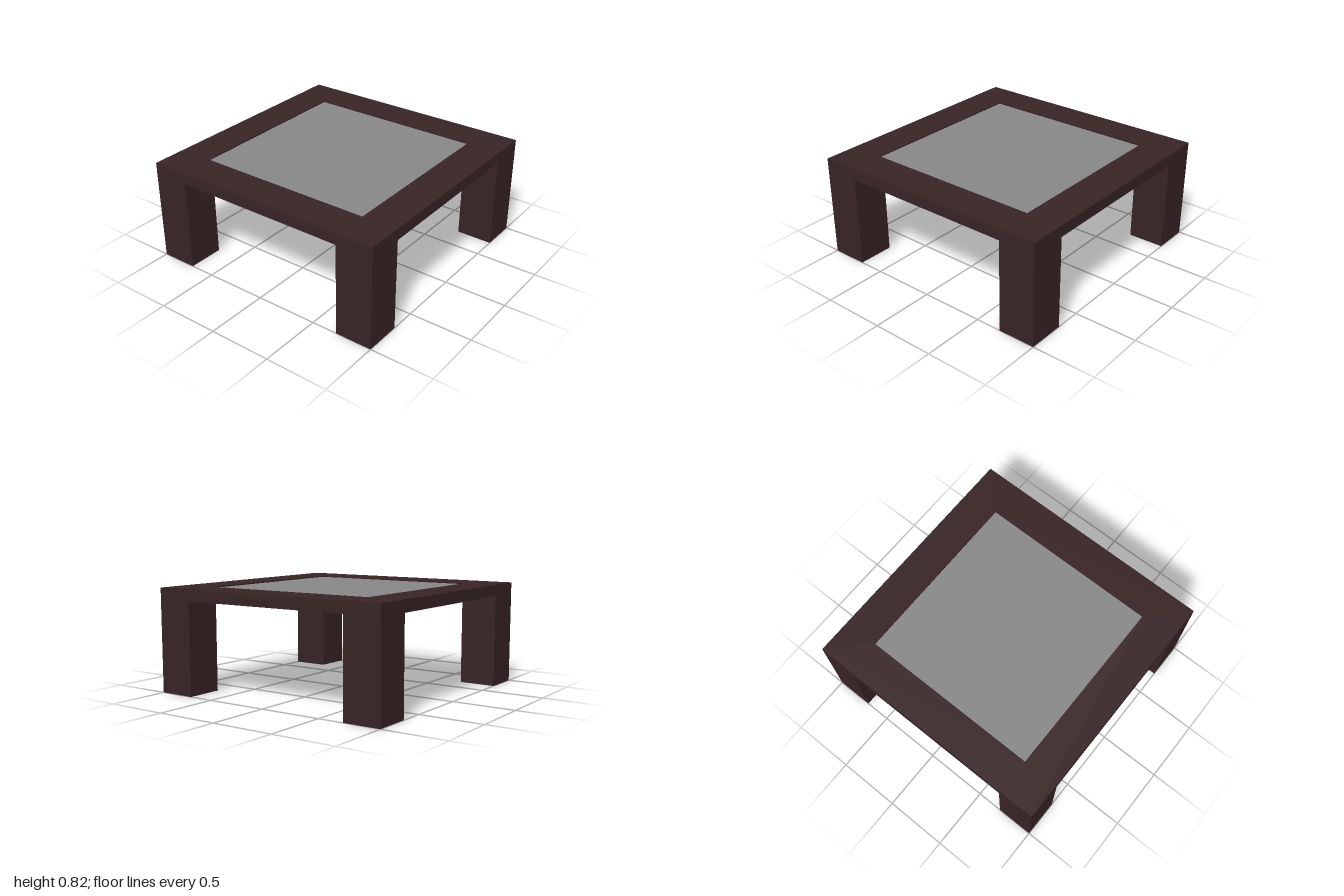
import * as THREE from 'three';

const TOP = 0.82, UNDERSIDE = 0.73, HALF = 1, OPENING = 0.72, LEG = 0.295;

export function createModel() {
  const table = new THREE.Group();
  table.name = 'coffeeTable';
  const wood = new THREE.MeshStandardMaterial({ color: 0x382425 });
  wood.name = 'darkWood';
  const grey = new THREE.MeshStandardMaterial({ color: 0x888888 });
  grey.name = 'greyPanel';

  const add = (name, geometry, material) => {
    const mesh = new THREE.Mesh(geometry, material);
    mesh.name = name;
    table.add(mesh);
    return mesh;
  };

  // Four mitred rails form the top frame
  const trapezoid = new THREE.Shape([
    new THREE.Vector2(-HALF, -HALF),
    new THREE.Vector2(HALF, -HALF),
    new THREE.Vector2(OPENING, -OPENING),
    new THREE.Vector2(-OPENING, -OPENING),
  ]);
  const railGeometry = new THREE.ExtrudeGeometry(trapezoid, {
    depth: TOP - UNDERSIDE, bevelEnabled: false,
  }).rotateX(-Math.PI / 2);
  ['frontRail', 'leftRail', 'backRail', 'rightRail'].forEach((name, i) => {
    const rail = add(name, railGeometry, wood);
    rail.position.y = UNDERSIDE;
    rail.rotation.y = i * Math.PI / 2;
  });

  // Inset panel, slightly below the frame's top face
  add('topPanel', new THREE.BoxGeometry(OPENING * 2, 0.015, OPENING * 2), grey)
    .position.y = 0.803;

  // Square corner legs
  const legGeometry = new THREE.BoxGeometry(LEG, UNDERSIDE, LEG);
  const offset = HALF - LEG / 2;
  for (const [side, sx] of [['Left', 1], ['Right', -1]]) {
    for (const [end, sz] of [['front', 1], ['back', -1]]) {
      add(`${end}${side}Leg`, legGeometry, wood)
        .position.set(sx * offset, UNDERSIDE / 2, sz * offset);
    }
  }
  return table;
}
